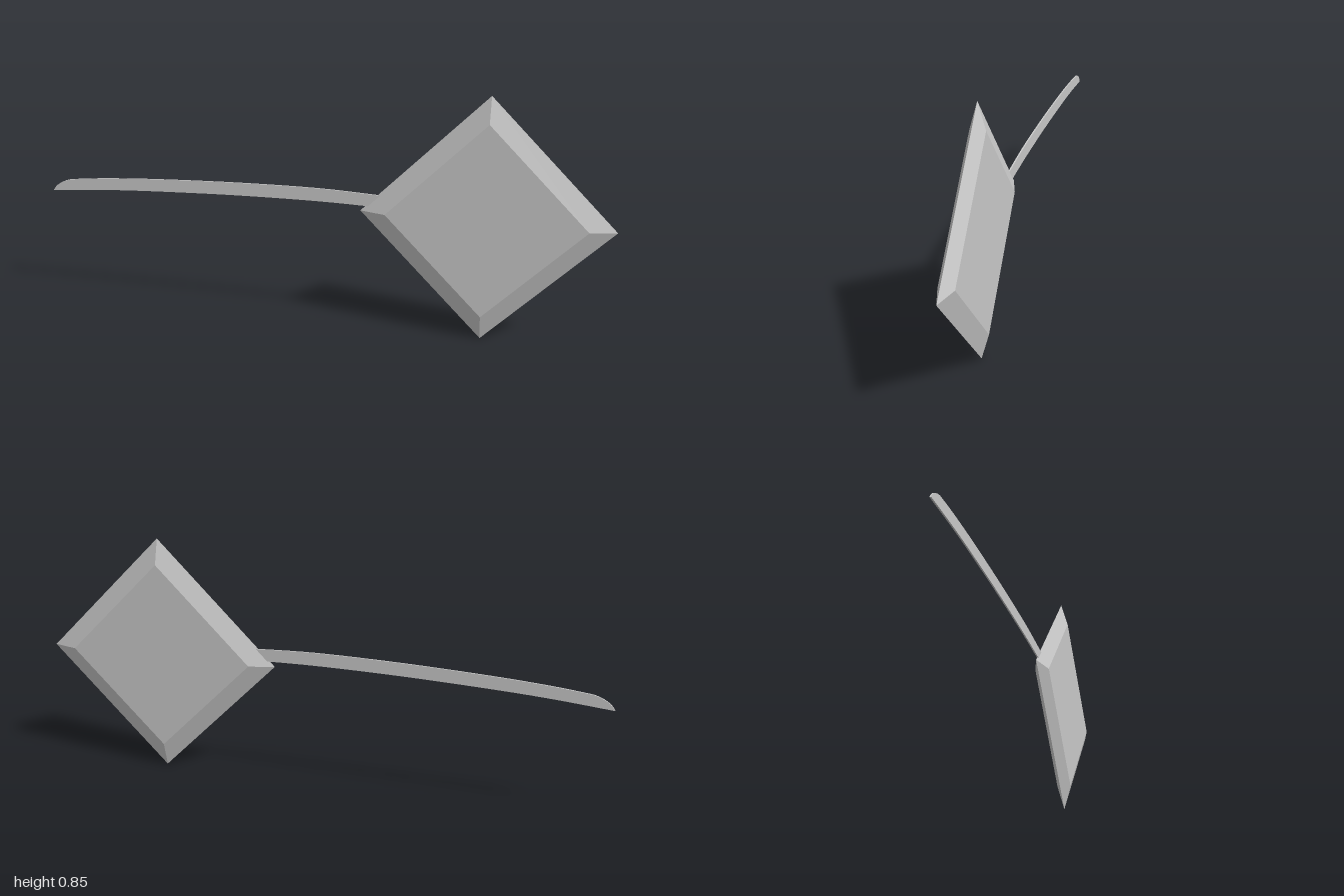
import * as THREE from 'three';

export function createModel() {
  const group = new THREE.Group();
  const material = new THREE.MeshStandardMaterial({ color: 0xcccccc, flatShading: true });

  // Diamond-shaped blade: a four-sided slab bevelled to a sharp rim
  const v = (x, y) => new THREE.Vector2(x, y);
  const profile = [v(0, -0.025), v(0.336, -0.025), v(0.425, 0), v(0.336, 0.025), v(0, 0.025)];
  const blade = new THREE.Mesh(new THREE.LatheGeometry(profile, 4).rotateX(Math.PI / 2), material);
  blade.name = 'diamondBlade';
  blade.position.set(0.575, 0.425, 0);
  group.add(blade);

  // Thin curved handle with a hooked, pointed end
  const outline = new THREE.Shape();
  outline.moveTo(-1, 0.398);
  outline.splineThru([v(-0.8, 0.416), v(-0.6, 0.428), v(-0.3, 0.44), v(0, 0.445), v(0.22, 0.442)]);
  outline.lineTo(0.22, 0.484);
  outline.splineThru([v(0, 0.491), v(-0.3, 0.486), v(-0.6, 0.473), v(-0.8, 0.459), v(-0.93, 0.445)]);
  outline.quadraticCurveTo(-0.985, 0.43, -1, 0.398);
  const thickness = 0.005;
  const handleGeometry = new THREE.ExtrudeGeometry(outline, {
    depth: thickness, bevelEnabled: false, curveSegments: 5,
  }).translate(0, 0, -thickness / 2);
  const handle = new THREE.Mesh(handleGeometry, material);
  handle.name = 'handle';
  group.add(handle);

  return group;
}
